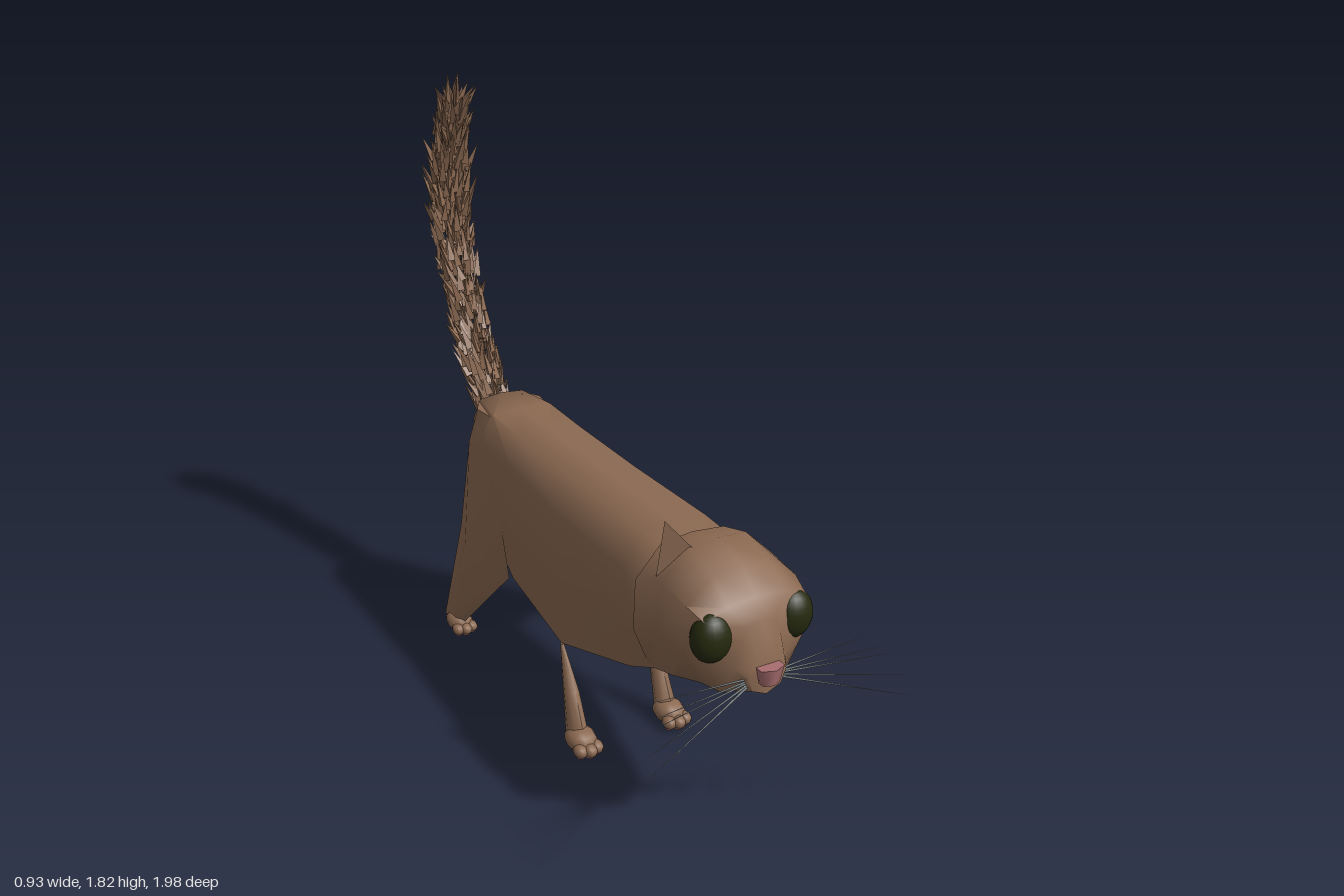
import * as THREE from 'three';
import { mergeGeometries, toCreasedNormals } from 'three/addons/utils/BufferGeometryUtils.js';

const mat = (name, color) => {
  const m = new THREE.MeshStandardMaterial({ color });
  m.name = name;
  return m;
};
const V = (x, y, z) => new THREE.Vector3(x, y, z);

// Closed skin through equal-sized rings, with fan caps, always facing outwards
function loft(rings, crease = 0.9) {
  const n = rings[0].length, tris = [];
  const tri = (a, b, c) => tris.push([a, b, c]);
  for (let i = 0; i < rings.length - 1; i++) {
    for (let j = 0; j < n; j++) {
      const k = (j + 1) % n, p = rings[i], q = rings[i + 1];
      tri(p[j], q[j], q[k]);
      tri(p[j], q[k], p[k]);
    }
  }
  const centre = (r) => r.reduce((s, p) => s.add(p), V(0, 0, 0)).divideScalar(n);
  const first = rings[0], last = rings[rings.length - 1];
  const c0 = centre(first), c1 = centre(last);
  for (let j = 0; j < n; j++) {
    const k = (j + 1) % n;
    tri(c0, first[j], first[k]);
    tri(c1, last[k], last[j]);
  }
  const volume = tris.reduce((s, [a, b, c]) => s + a.dot(b.clone().cross(c)), 0);
  const out = tris.flatMap(([a, b, c]) => (volume < 0 ? [a, c, b] : [a, b, c]));
  return toCreasedNormals(new THREE.BufferGeometry().setFromPoints(out), crease);
}

// Symmetric ring at depth z from [x, y] points running top centre to bottom centre
function halfRing(z, pts) {
  const left = pts.map(([x, y]) => V(x, y, z));
  const right = pts.slice(1, -1).reverse().map(([x, y]) => V(-x, y, z));
  return [...left, ...right];
}

// Thin spike from a to b, turned about its own length by twist
function spike(a, b, r, sides, twist = 0) {
  const d = b.clone().sub(a), len = d.length();
  const g = new THREE.ConeGeometry(r, len, sides, 1);
  g.rotateY(twist).translate(0, len / 2, 0);
  g.applyQuaternion(new THREE.Quaternion().setFromUnitVectors(V(0, 1, 0), d.normalize()));
  return g.translate(a.x, a.y, a.z);
}

function seeded(seed) {
  return () => {
    seed = (seed * 16807) % 2147483647;
    return seed / 2147483647;
  };
}

export function createModel() {
  const cat = new THREE.Group();
  cat.name = 'cat';
  const fur = mat('brown fur', 0x8c6a52);
  const eyeMat = mat('dark olive eye', 0x252a0e);
  const pink = mat('pink skin', 0xa86e70);
  const grey = mat('grey whisker', 0x7d8688);
  const add = (name, geo, material, parent = cat) => {
    const m = new THREE.Mesh(geo, material);
    m.name = name;
    parent.add(m);
    return m;
  };

  // Body: flat back, angular belly rising into a narrow rump
  add('body', loft([
    halfRing(0.57, [[0, 0.845], [0.1, 0.83], [0.17, 0.75], [0.175, 0.6], [0.13, 0.47], [0, 0.46]]),
    halfRing(0.46, [[0, 0.845], [0.1, 0.835], [0.17, 0.74], [0.178, 0.58], [0.14, 0.42], [0, 0.41]]),
    halfRing(0.08, [[0, 0.84], [0.1, 0.825], [0.15, 0.72], [0.162, 0.5], [0.15, 0.3], [0, 0.37]]),
    halfRing(-0.25, [[0, 0.838], [0.1, 0.825], [0.14, 0.74], [0.15, 0.55], [0.14, 0.36], [0, 0.42]]),
    halfRing(-0.44, [[0, 0.836], [0.1, 0.83], [0.138, 0.74], [0.14, 0.6], [0.13, 0.48], [0, 0.55]]),
    halfRing(-0.58, [[0, 0.836], [0.075, 0.828], [0.1, 0.77], [0.1, 0.7], [0.08, 0.64], [0, 0.65]]),
    halfRing(-0.65, [[0, 0.74], [0.03, 0.735], [0.05, 0.72], [0.055, 0.7], [0.04, 0.67], [0, 0.67]]),
  ], 1.1), fur);

  // Head: broad blocky skull with a short muzzle
  add('head', loft([
    halfRing(0.55, [[0, 0.85], [0.1, 0.84], [0.18, 0.75], [0.185, 0.6], [0.13, 0.465], [0, 0.455]]),
    halfRing(0.67, [[0, 0.885], [0.09, 0.88], [0.172, 0.8], [0.185, 0.65], [0.13, 0.5], [0, 0.495]]),
    halfRing(0.79, [[0, 0.858], [0.09, 0.85], [0.172, 0.785], [0.178, 0.65], [0.12, 0.54], [0, 0.53]]),
    halfRing(0.858, [[0, 0.8], [0.09, 0.79], [0.158, 0.765], [0.152, 0.64], [0.1, 0.54], [0, 0.522]]),
    halfRing(0.885, [[0, 0.745], [0.04, 0.735], [0.06, 0.7], [0.08, 0.62], [0.065, 0.55], [0, 0.525]]),
    halfRing(0.92, [[0, 0.645], [0.03, 0.64], [0.05, 0.625], [0.06, 0.6], [0.045, 0.56], [0, 0.54]]),
  ], 1.1), fur);

  // Single upright ear, a thin pointed blade
  const earBase = [V(-0.165, 0.79, 0.63), V(-0.07, 0.865, 0.68), V(-0.125, 0.83, 0.625)];
  const earTip = V(-0.145, 0.957, 0.637);
  add('ear', loft([earBase, earBase.map(() => earTip.clone())], 0.3), fur);

  // Nose
  const nose = add('nose', new THREE.CylinderGeometry(0.042, 0.03, 0.05, 6), pink);
  nose.position.set(0, 0.605, 0.93);
  nose.scale.z = 0.7;

  const rand = seeded(77);
  for (const s of [1, -1]) {
    const side = s > 0 ? 'left' : 'right';

    // Eye
    const eye = add(side + 'Eye', new THREE.SphereGeometry(1, 20, 14), eyeMat);
    eye.position.set(s * 0.127, 0.708, 0.842);
    eye.scale.set(0.059, 0.072, 0.05);

    // Whiskers fanning from the muzzle
    const tips = [[0.465, 0.425, 1.0], [0.45, 0.49, 0.98], [0.42, 0.565, 0.96],
      [0.4, 0.58, 0.935], [0.36, 0.61, 0.9]];
    add(side + 'Whiskers', mergeGeometries(tips.map(([x, y, z], i) =>
      spike(V(s * 0.04, 0.575 + i * 0.004, 0.905), V(s * x, y, z), 0.004, 4))), grey);

    // Front leg, pointed at the shoulder
    const legRing = (y, x, z, rx, rz) => Array.from({ length: 8 }, (_, i) => {
      const a = i / 8 * Math.PI * 2;
      return V(s * (x + rx * Math.cos(a)), y, z + rz * Math.sin(a));
    });
    add(side + 'FrontLeg', loft([
      legRing(0.3, 0.15, 0.085, 0.006, 0.006),
      legRing(0.17, 0.152, 0.142, 0.023, 0.03),
      legRing(0.04, 0.155, 0.185, 0.032, 0.045),
    ]), fur);

    // Hind leg: broad thigh whose back edge slants from the rump out to the heel
    const thigh = (y, front, outer, rearX, rearZ, innerX) => [
      V(s * front[0], y, front[1]), V(s * outer[0], y, outer[1]),
      V(s * rearX, y, rearZ), V(s * innerX, y, rearZ),
      V(s * (front[0] - 0.03), y, front[1] * 0.7 + rearZ * 0.3),
    ];
    add(side + 'HindLeg', loft([
      thigh(0.82, [0.1, -0.45], [0.11, -0.53], 0.08, -0.585, 0.03),
      thigh(0.72, [0.138, -0.39], [0.142, -0.53], 0.06, -0.65, 0.01),
      thigh(0.36, [0.15, -0.255], [0.168, -0.53], 0.12, -0.657, 0.07),
      thigh(0.04, [0.16, -0.575], [0.185, -0.61], 0.185, -0.665, 0.14),
    ], 0.8), fur);

    // Paws with three toes and pink pads
    for (const [label, x, z, size] of [['FrontPaw', 0.155, 0.205, 1], ['HindPaw', 0.16, -0.612, 0.9]]) {
      const paw = new THREE.Group();
      paw.name = side + label;
      paw.position.set(s * x, 0, z);
      paw.scale.setScalar(size);
      cat.add(paw);
      const ball = (r, px, py, pz, sx, sy, sz) =>
        new THREE.SphereGeometry(r, 10, 7).scale(sx, sy, sz).translate(px, py, pz);
      add('pawFur', mergeGeometries([
        ball(0.047, 0, 0.037, 0, 1, 0.78, 1.25),
        ...[-1, 0, 1].map((t) => ball(0.021, t * 0.027, 0.026, 0.056 - Math.abs(t) * 0.01, 1, 1, 1.3)),
      ]), fur, paw);
      add('pads', mergeGeometries([
        ball(0.026, 0, 0.006, 0, 1, 0.25, 1),
        ...[-1, 0, 1].map((t) => ball(0.014, t * 0.026, 0.006, 0.056 - Math.abs(t) * 0.01, 1, 0.45, 1)),
      ]), pink, paw);
    }
  }

  // Tail: loose pointed tufts around an upswept curve
  const path = new THREE.CatmullRomCurve3([
    V(0, 0.74, -0.62), V(0, 0.88, -0.71), V(0, 1.0, -0.8), V(0, 1.2, -0.885),
    V(0, 1.4, -0.915), V(0, 1.58, -0.895), V(0, 1.72, -0.855),
  ]);
  const tufts = [];
  const count = 430;
  for (let i = 0; i < count; i++) {
    const u = i / count;
    const p = path.getPointAt(u), t = path.getTangentAt(u);
    const a = i * 2.39996;
    const up = V(1, 0, 0).cross(t);
    const out = V(1.15 * Math.cos(a), 0, 0).addScaledVector(up, Math.sin(a));
    const r = u < 0.85 ? 0.05 : 0.05 - (u - 0.85) * 0.16;
    const root = p.clone().addScaledVector(out, r * (0.45 + 0.55 * rand()));
    const tip = root.clone().addScaledVector(t, 0.06 + 0.05 * rand())
      .addScaledVector(out, 0.035 * rand()).add(V(0.03 * (rand() - 0.5), 0, 0));
    tufts.push(spike(root, tip, 0.014, 3, rand() * 6));
  }
  add('tail', toCreasedNormals(mergeGeometries(tufts), 0.3), fur);

  return cat;
}
